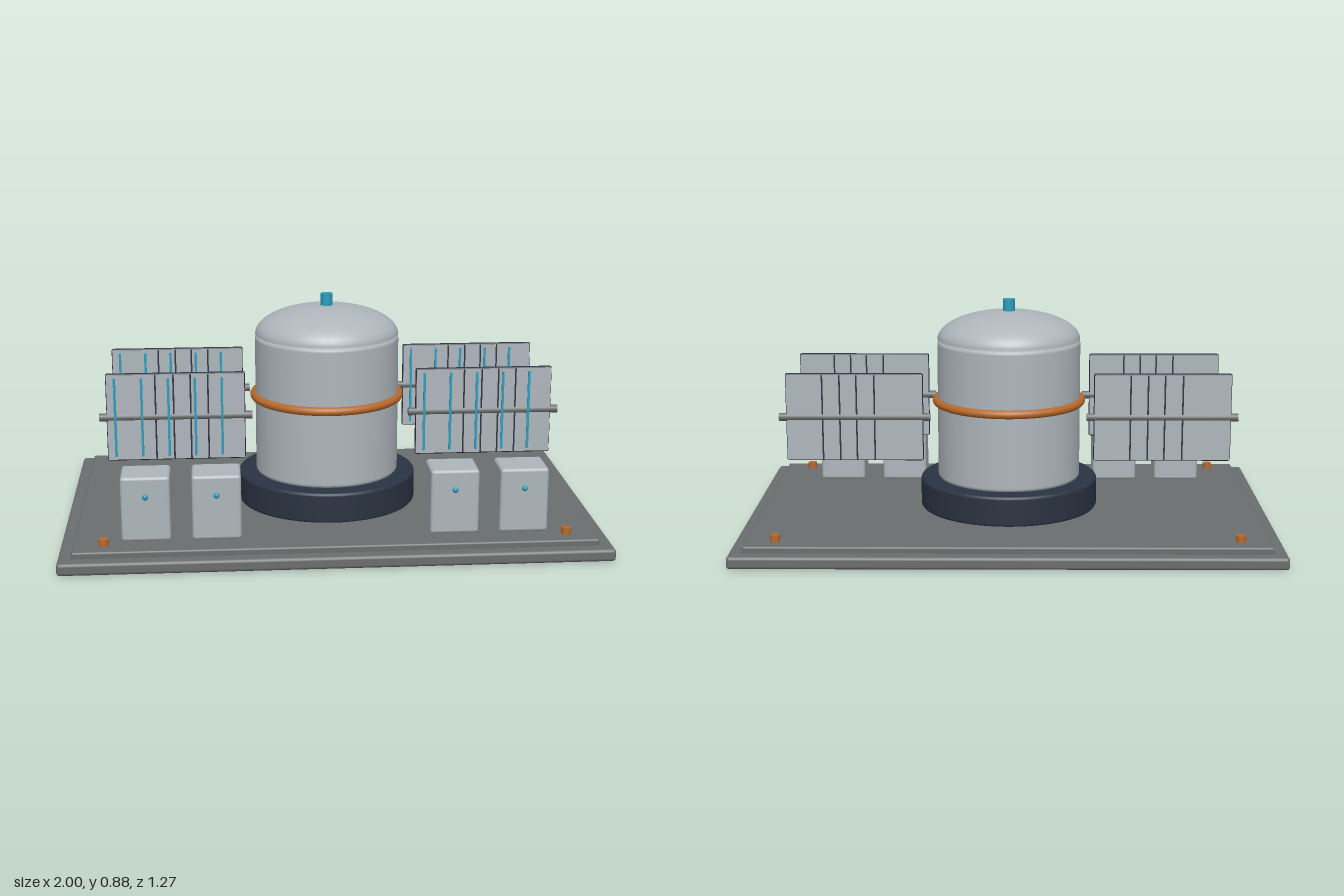
import * as THREE from 'three';
import { toCreasedNormals } from 'three/addons/utils/BufferGeometryUtils.js';
import { RoundedBoxGeometry } from 'three/addons/geometries/RoundedBoxGeometry.js';

const material = (name, color) => {
  const m = new THREE.MeshStandardMaterial({ color });
  m.name = name;
  return m;
};

export function createModel() {
  const deckGrey = material('deck grey', 0x6b6e6e);
  const paleMetal = material('pale metal', 0xaeb6bb);
  const navy = material('dark navy', 0x2a3342);
  const copper = material('copper', 0xb8692a);
  const cyan = material('cyan', 0x2b9dbd);

  const model = new THREE.Group();
  model.name = 'reactorPlatform';

  const add = (name, geometry, mat, x = 0, y = 0, z = 0, parent = model) => {
    const mesh = new THREE.Mesh(geometry, mat);
    mesh.name = name;
    mesh.position.set(x, y, z);
    parent.add(mesh);
    return mesh;
  };
  const roundBox = (w, h, d, r) => new RoundedBoxGeometry(w, h, d, 2, r);

  // Upright cylinder with softened rims, from y0 to y1
  const drum = (radius, y0, y1, bevel) => {
    const points = [[0, y0]];
    for (let i = 0; i <= 4; i++) {
      const a = (i / 4) * Math.PI / 2;
      points.push([radius - bevel + bevel * Math.sin(a), y0 + bevel - bevel * Math.cos(a)]);
    }
    for (let i = 0; i <= 4; i++) {
      const a = (i / 4) * Math.PI / 2;
      points.push([radius - bevel + bevel * Math.cos(a), y1 - bevel + bevel * Math.sin(a)]);
    }
    points.push([0, y1]);
    return new THREE.LatheGeometry(points.map(p => new THREE.Vector2(...p)), 64);
  };

  // Stepped base plate
  add('basePlate', roundBox(2, 0.046, 1.272, 0.012), deckGrey, 0, 0.023, 0);
  add('deckPlate', roundBox(1.9, 0.03, 1.176, 0.007), deckGrey, 0, 0.055, 0);

  // Corner bolts
  for (const x of [-0.84, 0.84])
    for (const z of [-0.515, 0.515])
      add('cornerBolt', new THREE.CylinderGeometry(0.018, 0.018, 0.026, 20), copper, x, 0.081, z);

  // Central vessel
  add('vesselFoot', drum(0.342, 0.066, 0.184, 0.012), navy);
  add('vesselBody', drum(0.275, 0.18, 0.72, 0.016), paleMetal);
  const domePoints = [new THREE.Vector2(0, 0.721)];
  for (let i = 0; i <= 20; i++) {
    const a = (i / 20) * Math.PI / 2;
    domePoints.push(new THREE.Vector2(i === 20 ? 0 : 0.274 * Math.cos(a), 0.721 + 0.109 * Math.sin(a)));
  }
  add('vesselDome', toCreasedNormals(new THREE.LatheGeometry(domePoints, 64), 0.8), paleMetal);
  add('domeCap', new THREE.CylinderGeometry(0.023, 0.023, 0.055, 24), cyan, 0, 0.8475, 0);
  const band = add('vesselBand', new THREE.TorusGeometry(0.279, 0.016, 16, 72), copper, 0, 0.483, 0);
  band.rotation.x = Math.PI / 2;

  // Radiator panels: dark core, pale plates split by seams, cyan strips on the front
  const width = 0.515, height = 0.334;
  const seams = [-width / 2, -0.075, -0.008, 0.055, 0.12, width / 2];
  for (const side of [-1, 1]) {
    for (const z of [-0.201, 0.201]) {
      const panel = new THREE.Group();
      panel.name = 'radiatorPanel';
      panel.position.set(side * 0.577, 0.457, z);
      model.add(panel);
      add('panelCore', roundBox(width, height, 0.02, 0.007), navy, 0, 0, 0, panel);
      for (const face of [-1, 1]) {
        for (let i = 0; i < seams.length - 1; i++) {
          const a = seams[i] + 0.003, b = seams[i + 1] - 0.003;
          add('panelPlate', new THREE.BoxGeometry(b - a, height - 0.01, 0.003), paleMetal,
            (a + b) / 2, 0, face * 0.0095, panel);
        }
      }
      for (let i = -2; i <= 2; i++)
        add('coolantStrip', new THREE.BoxGeometry(0.009, 0.3, 0.005), cyan, i * 0.099 - 0.027 * 1, 0, 0.0125, panel);
      const rod = add('supportRod', new THREE.CylinderGeometry(0.015, 0.015, 0.568, 20), deckGrey, 0, 0, 0, panel);
      rod.rotation.z = Math.PI / 2;
    }
  }

  // Control cabinets with a small indicator on the front
  for (const x of [-0.688, -0.433, 0.433, 0.688]) {
    add('controlCabinet', roundBox(0.178, 0.242, 0.155, 0.012), paleMetal, x, 0.19, 0.409);
    add('indicator', new THREE.SphereGeometry(0.011, 12, 8), cyan, x, 0.237, 0.486);
  }
  return model;
}
